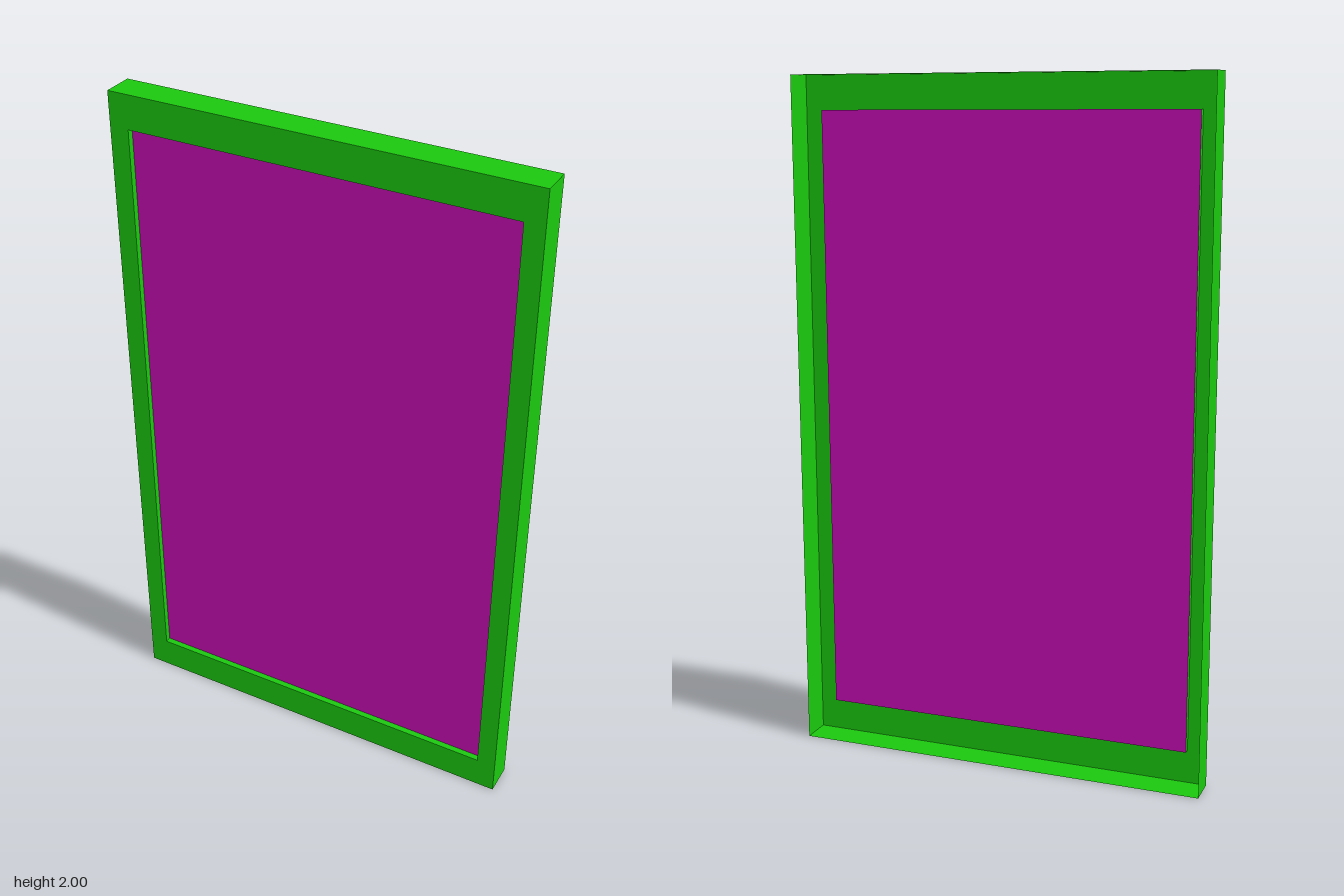
import * as THREE from 'three';

const GREEN = 0x1bc80f, MAGENTA = 0xc80db4;
const W = 1.234, H = 2, DEPTH = 0.093;      // outer shell
const OPEN_W = 1.12, OPEN_H = 1.803;        // panel opening
const RECESS = 0.018;                       // panel set back from the front
const FRONT = DEPTH / 2, BACK = -DEPTH / 2;

// Skin a series of rectangular loops, each [width, height, z], with flat faces.
function rectLoft(loops) {
  const corners = [[-0.5, -0.5], [0.5, -0.5], [0.5, 0.5], [-0.5, 0.5]];
  const rings = loops.map(([w, h, z]) => corners.map(([x, y]) => [x * w, y * h, z]));
  const pos = [];
  for (let r = 0; r < rings.length - 1; r++) {
    for (let i = 0; i < 4; i++) {
      const j = (i + 1) % 4;
      const a = rings[r][i], b = rings[r][j], c = rings[r + 1][j], d = rings[r + 1][i];
      pos.push(...a, ...b, ...c, ...a, ...c, ...d);
    }
  }
  const geo = new THREE.BufferGeometry();
  geo.setAttribute('position', new THREE.Float32BufferAttribute(pos, 3));
  geo.computeVertexNormals();
  return geo;
}

function part(name, geo, color) {
  const mesh = new THREE.Mesh(geo, new THREE.MeshStandardMaterial({ color, side: THREE.DoubleSide }));
  mesh.name = name;
  return mesh;
}

export function createModel() {
  const model = new THREE.Group();
  model.name = 'framedPanel';

  // The whole panel leans back very slightly
  const body = new THREE.Group();
  body.name = 'leaningBody';
  body.position.y = H / 2;
  body.rotation.x = -0.005;
  model.add(body);

  // Thin open-backed frame: side walls, front border, then the lip folded in
  body.add(part('frame', rectLoft([
    [W, H, BACK],
    [W, H, FRONT],
    [OPEN_W, OPEN_H, FRONT],
    [OPEN_W, OPEN_H, FRONT - RECESS],
  ]), GREEN));

  // Flat panel closing the lip
  const panel = part('panel', new THREE.PlaneGeometry(OPEN_W, OPEN_H), MAGENTA);
  panel.position.z = FRONT - RECESS;
  body.add(panel);

  return model;
}
